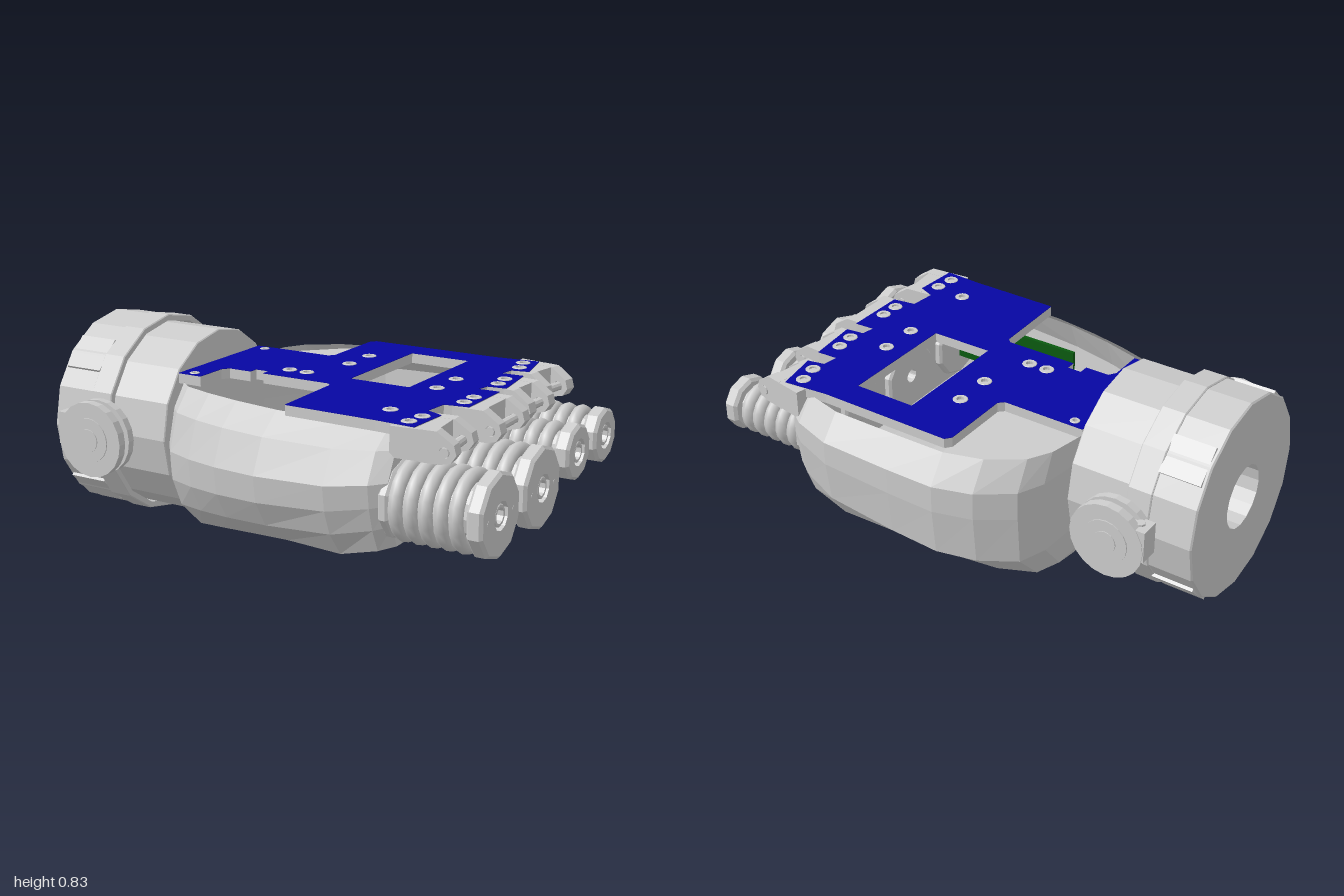
import * as THREE from 'three';

const make = (color, flatShading = true) => new THREE.MeshStandardMaterial({ color, flatShading, side: THREE.DoubleSide });
const grey = make(0xcccccc), smoothGrey = make(0xcccccc, false), blue = make(0x0606a2), green = make(0x0a5a10);

function add(parent, name, geometry, material = grey, x = 0, y = 0, z = 0) {
  const mesh = new THREE.Mesh(geometry, material);
  mesh.name = name;
  mesh.position.set(x, y, z);
  parent.add(mesh);
  return mesh;
}

// Lathe about the x axis; profile is a list of [radius, x]
function latheX(profile, sides) {
  const pts = profile.map(([r, x]) => new THREE.Vector2(r, x));
  return new THREE.LatheGeometry(pts, sides, Math.PI / 2).rotateZ(-Math.PI / 2);
}

// Closed ring section: inner radius, outer radius, from x0 to x1, chamfer c
const ring = (ri, ro, x0, x1, c, sides) => latheX(
  [[ri, x0], [ro - c, x0], [ro, x0 + c], [ro, x1 - c], [ro - c, x1], [ri, x1], [ri, x0]], sides);

// Palm tub, open at the top: each station is [x, back z, front z, bottom y]
function palm() {
  const g = new THREE.Group();
  g.name = 'palm';
  const stations = [
    [-0.46, -0.25, 0.38, 0.12], [-0.43, -0.42, 0.46, 0.08], [-0.38, -0.52, 0.52, 0.06],
    [-0.25, -0.62, 0.58, 0.075], [-0.1, -0.67, 0.625, 0.09], [0.1, -0.675, 0.66, 0.11],
    [0.4, -0.675, 0.67, 0.15], [0.56, -0.63, 0.63, 0.195], [0.62, -0.59, 0.59, 0.215]];
  const section = [
    [0.76, 1], [0.91, 0.85], [1, 0.6], [0.98, 0.4], [0.88, 0.2], [0.64, 0],
    [-0.5, 0], [-0.74, 0.03], [-0.97, 0.25], [-1, 0.6], [-1, 0.8], [-0.88, 1]];
  // the underside grows wider and squarer towards the fingers
  const rows = stations.map(([x, zb, zf, yb]) => section.map(([u, v]) => {
    const square = v < 0.3 ? THREE.MathUtils.smoothstep(x, 0, 0.62) * 0.75 : 0;
    const w = THREE.MathUtils.lerp(u, Math.sign(u) * 0.96, square);
    return [x, yb + v * (0.64 - yb), (zb + zf) / 2 + w * (zf - zb) / 2];
  }));
  const idx = [], n = section.length;
  for (let i = 0; i < rows.length - 1; i++)
    for (let j = 0; j < n - 1; j++) {
      const a = i * n + j, b = a + n;
      idx.push(a, a + 1, b, b, a + 1, b + 1);
    }
  const shell = new THREE.BufferGeometry();
  shell.setAttribute('position', new THREE.Float32BufferAttribute(rows.flat(2), 3));
  shell.setIndex(idx);
  shell.computeVertexNormals();
  add(g, 'palmShell', shell);
  // end walls, each with a cable hole
  for (const row of [rows[0], rows[rows.length - 1]]) {
    const wall = new THREE.Shape(row.map(([, y, z]) => new THREE.Vector2(-z, y)));
    wall.holes.push(new THREE.Path().absarc(-0.115, 0.385, 0.04, 0, Math.PI * 2, true));
    add(g, 'palmEndWall', new THREE.ShapeGeometry(wall, 6).rotateY(Math.PI / 2), grey, row[0][0]);
  }
  return g;
}

// Horizontal slab from an outline of [x, z], with optional holes
function slab(outline, holes, height) {
  const toPts = (list) => list.map(([x, z]) => new THREE.Vector2(x, -z));
  const shape = new THREE.Shape(toPts(outline));
  for (const h of holes) shape.holes.push(new THREE.Path(toPts(h)));
  return new THREE.ExtrudeGeometry(shape, { depth: height, bevelEnabled: false }).rotateX(-Math.PI / 2);
}

function wrist() {
  const g = new THREE.Group();
  g.name = 'wrist';
  g.position.set(0, 0.415, 0.065);
  add(g, 'wristCollar', ring(0.13, 0.408, -1, -0.8, 0.006, 16));
  add(g, 'wristRim', ring(0.39, 0.415, -0.82, -0.72, 0.004, 16));
  add(g, 'wristSleeve', ring(0.13, 0.382, -0.8, -0.465, 0.004, 16));
  // raised panels around the collar
  for (let i = 0; i < 4; i++) {
    const a = Math.PI / 4 + i * Math.PI / 2;
    const panel = add(g, 'collarPanel', new THREE.BoxGeometry(0.17, 0.02, 0.15), grey,
      -0.9, 0.396 * Math.cos(a), 0.396 * Math.sin(a));
    panel.rotation.x = a;
  }
  // side pivots, mirrored front and back
  for (const s of [1, -1]) {
    const p = new THREE.Group();
    p.name = 'wristPivot';
    p.position.set(-0.72, 0.005, s * 0.485);
    const disc = (name, r, depth, z) =>
      add(p, name, new THREE.CylinderGeometry(r, r, depth, 20).rotateX(Math.PI / 2), grey, 0, 0, s * z);
    disc('pivotInnerDisc', 0.15, 0.03, -0.03);
    disc('pivotHub', 0.125, 0.06, 0);
    disc('pivotOuterDisc', 0.152, 0.035, 0.028);
    disc('pivotCap', 0.09, 0.006, 0.047);
    disc('pivotPin', 0.045, 0.006, 0.051);
    disc('pivotAxle', 0.03, 0.08, -0.06);
    add(p, 'pivotLug', new THREE.BoxGeometry(0.11, 0.13, 0.08), grey, -0.1, 0.03, s * 0.003);
    add(p, 'lugScrew', new THREE.CylinderGeometry(0.018, 0.018, 0.01, 8), grey, -0.115, 0.098, 0);
    g.add(p);
  }
  return g;
}

function finger(y, z, r, through) {
  const g = new THREE.Group();
  g.name = 'finger';
  g.position.set(0, y, z);
  // bellows: a core and five rounded ribs
  add(g, 'fingerCore', ring(0.03, r * 0.65, 0.6, 0.95, 0.005, 12));
  for (let i = 0; i < 5; i++)
    add(g, 'fingerRib', new THREE.TorusGeometry(r - 0.03, 0.027, 8, 18).rotateY(Math.PI / 2), smoothGrey, 0.655 + i * 0.059);
  add(g, 'fingerBase', ring(0.03, r * 0.95, 0.59, 0.632, 0.01, 10));
  // end disc with a recessed centre
  add(g, 'fingerEndDisc', ring(0.055, r, 0.937, 1, 0.012, 10));
  add(g, 'fingerBushing', ring(0.03, 0.043, 0.93, 0.995, 0.003, 10));
  add(g, 'bushingSeat', ring(0.03, 0.06, 0.93, 0.965, 0.003, 10));
  if (!through) add(g, 'fingerPlug', new THREE.CylinderGeometry(0.032, 0.032, 0.03, 10).rotateZ(Math.PI / 2), grey, 0.95);
  if (r > 0.14)
    for (const s of [1, -1])
      add(g, 'discPin', new THREE.CylinderGeometry(0.01, 0.01, 0.006, 8).rotateZ(Math.PI / 2), grey, 0.998, 0, s * 0.1);
  return g;
}

// Hinge bracket over each finger: block, two sloping ears and a cross pin
function knuckle(z, x, width, turn) {
  const g = new THREE.Group();
  g.name = 'knuckle';
  g.position.set(x, 0, z);
  g.rotation.y = turn;
  add(g, 'knuckleBlock', new THREE.BoxGeometry(0.17, 0.115, width), grey, -0.025, 0.61, 0);
  const ear = new THREE.Shape([[0, 0.55], [0, 0.668], [0.065, 0.668], [0.13, 0.625], [0.14, 0.59], [0.12, 0.56], [0.08, 0.55]]
    .map(([a, b]) => new THREE.Vector2(a, b)));
  ear.holes.push(new THREE.Path().absarc(0.095, 0.595, 0.02, 0, Math.PI * 2, true));
  for (const s of [1, -1])
    add(g, 'knuckleEar', new THREE.ExtrudeGeometry(ear, { depth: 0.05, bevelEnabled: false, curveSegments: 6 }),
      grey, 0, 0, s * (width / 2 - 0.025) - 0.025);
  add(g, 'knucklePin', new THREE.CylinderGeometry(0.018, 0.018, width + 0.01, 10).rotateX(Math.PI / 2), grey, 0.095, 0.595, 0);
  return g;
}

// Top plate: grey carrier with a blue skin, a window and screws set in holes
function topPlate() {
  const g = new THREE.Group();
  g.name = 'topPlate';
  const outline = [
    [-0.465, -0.22], [-0.12, -0.22], [-0.1, -0.24], [-0.1, -0.53], [-0.08, -0.555], [0.48, -0.555], [0.665, -0.575],
    [0.7, -0.4], [0.63, -0.385], [0.62, -0.32], [0.71, -0.325], [0.735, -0.115], [0.66, -0.105], [0.65, -0.05],
    [0.735, -0.055], [0.735, 0.2], [0.64, 0.215], [0.63, 0.32], [0.7, 0.35], [0.69, 0.535], [0.53, 0.525],
    [0.15, 0.52], [0.14, 0.19], [0.12, 0.17], [-0.18, 0.17], [-0.18, 0.13], [-0.24, 0.13], [-0.24, 0.17],
    [-0.34, 0.17], [-0.36, 0.2], [-0.36, 0.34], [-0.465, 0.34]];
  const window = [[0.155, -0.44], [0.415, -0.44], [0.415, 0.065], [0.155, 0.065]];
  // screws: [x, z, radius]
  const screws = [
    [0.03, -0.3], [0.03, -0.14], [-0.12, 0.07], [-0.04, 0.07], [0.51, -0.14], [0.51, 0.02], [0.51, 0.38],
    [0.62, -0.52], [0.64, -0.44], [0.67, -0.24], [0.68, -0.16], [0.69, 0.07], [0.69, 0.15], [0.65, 0.4], [0.64, 0.48],
    [-0.41, -0.185, 0.02], [-0.41, 0.31, 0.02]];
  const openings = [window];
  for (const [x, z, r = 0.03] of screws) {
    openings.push(Array.from({ length: 10 }, (_, i) => {
      const a = i * Math.PI / 5;
      return [x + r * 0.85 * Math.cos(a), z + r * 0.85 * Math.sin(a)];
    }));
    add(g, 'screwRim', ring(r * 0.5, r, 0, 0.022, 0.002, 12).rotateZ(Math.PI / 2), grey, x, 0.653, z);
    add(g, 'screwCore', new THREE.CylinderGeometry(r * 0.55, r * 0.55, 0.006, 10), grey, x, 0.66, z);
  }
  add(g, 'plateCarrier', slab(outline, openings, 0.04), grey, 0, 0.63, 0);
  add(g, 'plateSkin', slab(outline, openings, 0.002), blue, 0, 0.67, 0);
  return g;
}

export function createModel() {
  const model = new THREE.Group();
  model.name = 'roboticPalm';
  model.add(wrist(), palm(), topPlate());

  add(model, 'palmShoulder', slab([[-0.44, -0.2], [-0.42, -0.38], [-0.24, -0.56], [-0.08, -0.6], [-0.08, -0.2]], [], 0.02), grey, 0, 0.6, 0);
  add(model, 'innerHousing', new THREE.BoxGeometry(0.3, 0.34, 0.15), grey, -0.18, 0.3, 0.25);
  add(model, 'circuitBoard', new THREE.BoxGeometry(0.6, 0.2, 0.015), green, 0.3, 0.42, 0.47);

  // fingers and their knuckles
  model.add(finger(0.385, 0.47, 0.16, false), finger(0.385, 0.115, 0.16, true),
    finger(0.435, -0.215, 0.112, false), finger(0.435, -0.485, 0.112, false));
  model.add(knuckle(0.43, 0.7, 0.22, 0.1), knuckle(0.085, 0.73, 0.25, 0),
    knuckle(-0.215, 0.71, 0.2, -0.08), knuckle(-0.49, 0.67, 0.2, -0.18));
  return model;
}
